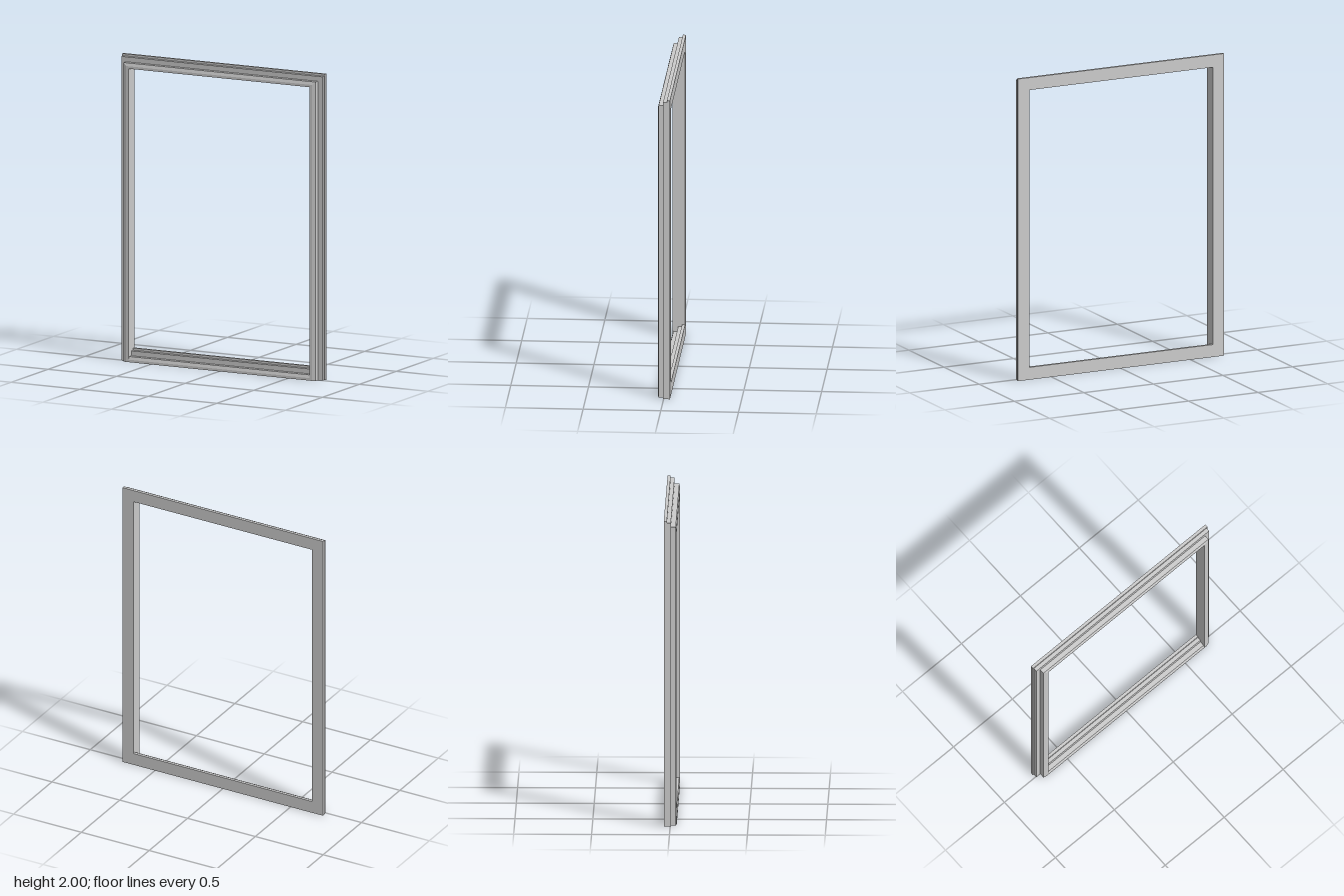
import * as THREE from 'three';

// Moulding section, inner edge outwards: [height on rails, width on stiles, depth]
const SECTION = [
  [0, 0, -0.041], [0.082, 0.08, -0.041], [0.082, 0.08, -0.021], [0.068, 0.073, -0.021],
  [0.068, 0.073, 0.004], [0.036, 0.04, 0.004], [0.036, 0.04, 0.035], [0.016, 0.018, 0.041], [0, 0, 0.041],
];
const RAIL = 0, STILE = 1;
const INNER_X = 0.66, OUTER_X = 0.74, INNER_TOP = 1.918, HEIGHT = 2;

// A straight moulding along +x, its steps facing +y, with optional mitred ends
function moulding(name, kind, length, mitreStart, mitreEnd) {
  const shape = new THREE.Shape(SECTION.map((p) => new THREE.Vector2(p[kind], p[2])));
  const geometry = new THREE.ExtrudeGeometry(shape, { depth: length, bevelEnabled: false });
  const pos = geometry.attributes.position;
  const other = 1 - kind;
  const same = (a, b) => Math.abs(a - b) < 1e-5;
  for (let i = 0; i < pos.count; i++) {
    const h = pos.getX(i), z = pos.getY(i), t = pos.getZ(i);
    const point = SECTION.find((p) => same(p[kind], h) && same(p[2], z));
    const inset = SECTION[1][other] - point[other];
    const atStart = t < length / 2;
    const x = atStart ? (mitreStart ? inset : 0) : length - (mitreEnd ? inset : 0);
    pos.setXYZ(i, x, h, z);
  }
  geometry.computeVertexNormals();
  const mesh = new THREE.Mesh(geometry, new THREE.MeshStandardMaterial({ color: 0xcccccc }));
  mesh.name = name;
  return mesh;
}

export function createModel() {
  const frame = new THREE.Group();
  frame.name = 'windowFrame';

  // Top rail, mitred into both stiles
  const topRail = moulding('topRail', RAIL, OUTER_X * 2, true, true);
  topRail.position.set(-OUTER_X, INNER_TOP, 0);

  // Stiles, mitred at the top and square at the floor
  const leftStile = moulding('leftStile', STILE, HEIGHT, true, false);
  leftStile.rotation.z = -Math.PI / 2;
  leftStile.position.set(INNER_X, HEIGHT, 0);

  const rightStile = moulding('rightStile', STILE, HEIGHT, false, true);
  rightStile.rotation.z = Math.PI / 2;
  rightStile.position.set(-INNER_X, 0, 0);

  // Sill rail, butted between the stiles with its steps facing up
  const bottomRail = moulding('bottomRail', RAIL, INNER_X * 2, false, false);
  bottomRail.position.set(-INNER_X, 0, 0);

  frame.add(topRail, leftStile, rightStile, bottomRail);
  return frame;
}
